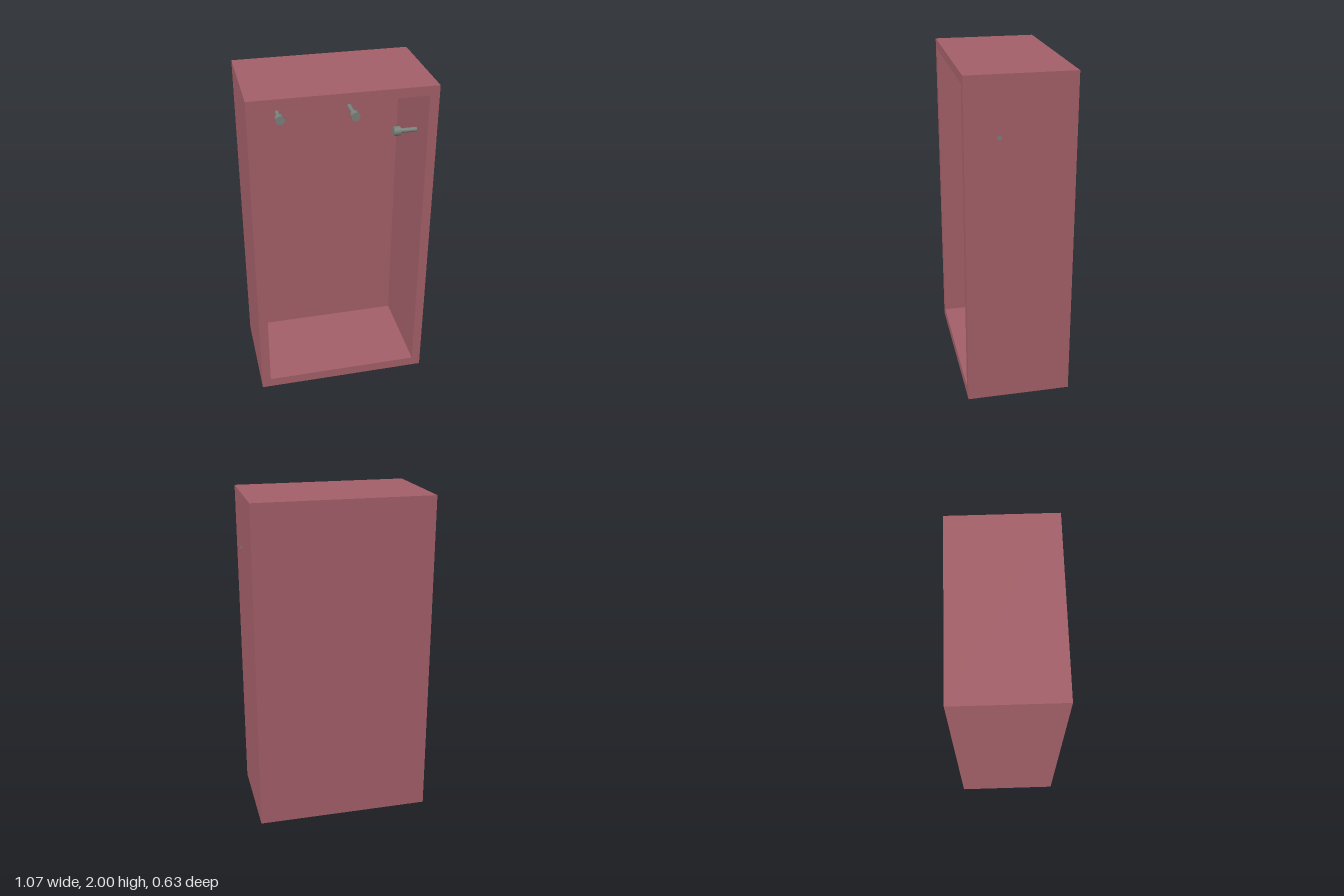
import * as THREE from 'three';

const W = 1.066, H = 2, D = 0.63, T = 0.055; // outer size and wall thickness

export function createModel() {
  const group = new THREE.Group();
  const shell = new THREE.MeshStandardMaterial({ color: 0xa35f68 });
  const metal = new THREE.MeshStandardMaterial({ color: 0x7a7f7a });

  // Frame: a rectangular tube, open to the front
  const outline = new THREE.Shape([
    new THREE.Vector2(-W / 2, 0), new THREE.Vector2(W / 2, 0),
    new THREE.Vector2(W / 2, H), new THREE.Vector2(-W / 2, H),
  ]);
  const x = W / 2 - T;
  outline.holes.push(new THREE.Path([
    new THREE.Vector2(-x, T + 0.005), new THREE.Vector2(-x, H - T),
    new THREE.Vector2(x, H - T), new THREE.Vector2(x, T + 0.005),
  ]));
  const frame = new THREE.Mesh(
    new THREE.ExtrudeGeometry(outline, { depth: D, bevelEnabled: false }), shell);
  frame.position.z = -D / 2;
  frame.name = 'cabinetFrame';
  group.add(frame);

  // Back panel, set inside the frame and flush with its rear
  const back = new THREE.Mesh(new THREE.BoxGeometry(2 * x, H - 2 * T - 0.005, T), shell);
  back.position.set(0, H / 2 + 0.0025, -D / 2 + T / 2);
  back.name = 'backPanel';
  group.add(back);

  // Peg along +z: a thin shaft with a wider head whose front face is at the origin
  function peg(name, shaftLength) {
    const g = new THREE.Group();
    g.name = name;
    const add = (part, radius, length, z) => {
      const m = new THREE.Mesh(
        new THREE.CylinderGeometry(radius, radius, length, 24).rotateX(Math.PI / 2), metal);
      m.position.z = z - length / 2;
      m.name = part;
      g.add(m);
    };
    add('pegHead', 0.028, 0.04, 0);
    add('pegShaft', 0.014, shaftLength, -0.04);
    group.add(g);
    return g;
  }

  // Two pegs on the back panel
  peg('rightBackPeg', 0.13).position.set(-0.285, 1.67, -0.135);
  peg('leftBackPeg', 0.17).position.set(0.167, 1.67, -0.09);

  // Side peg, its shaft just passing through the left wall
  const side = peg('sidePeg', 0.157);
  side.position.set(0.338, 1.655, 0.12);
  side.rotation.y = -Math.PI / 2;

  return group;
}
